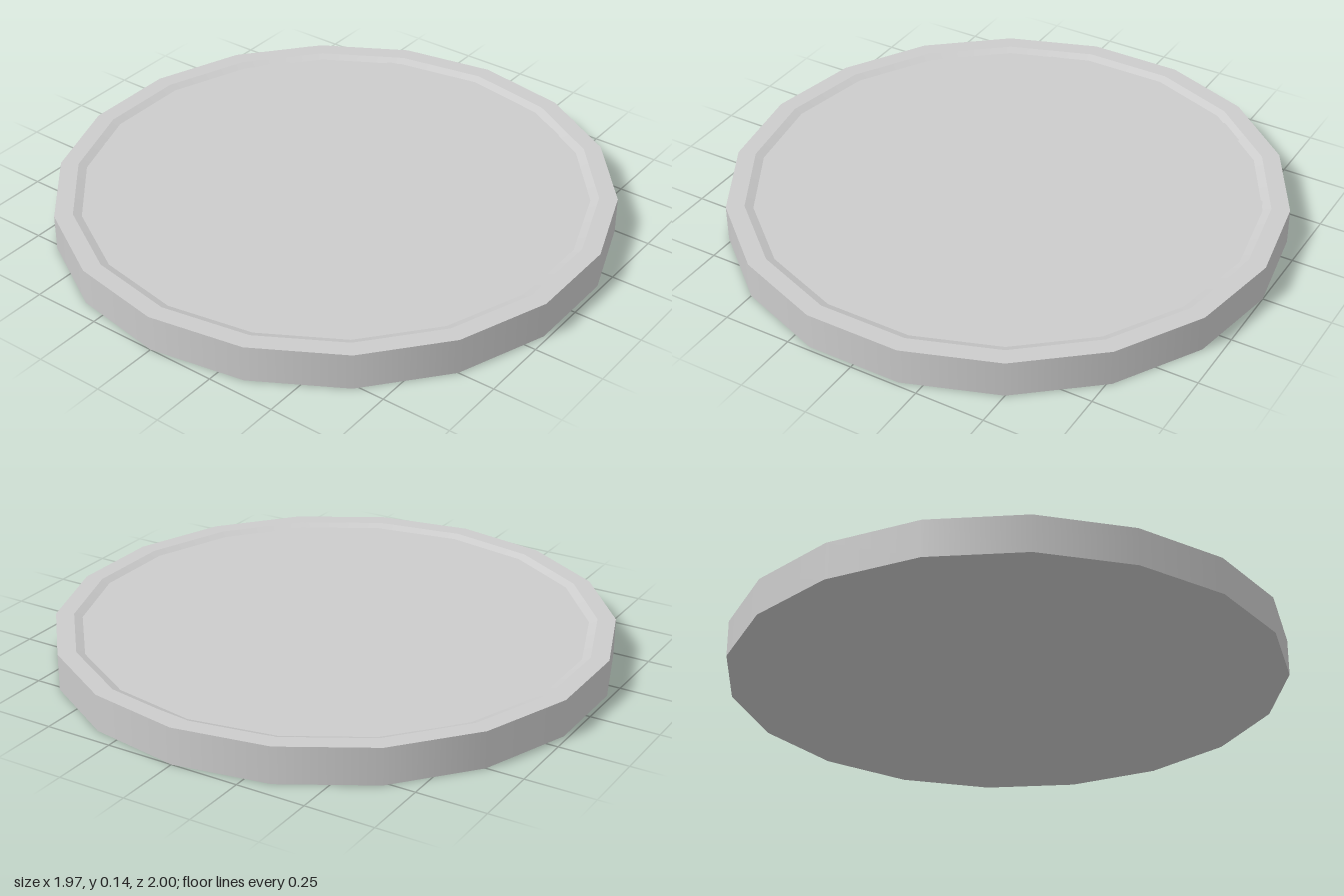
import * as THREE from 'three';

const SIDES = 18;
const TOP = 0.133;     // height of the rim
const PLATE = 0.121;   // height of the sunken plate
const LIFT = 0.002;    // thickness of the grain inlays
const grey = new THREE.MeshStandardMaterial({ color: 0xcccccc });

// One band of the disc, turned from a two-point profile
function band(name, r0, y0, r1, y1) {
  const points = [new THREE.Vector2(r0, y0), new THREE.Vector2(r1, y1)];
  const mesh = new THREE.Mesh(new THREE.LatheGeometry(points, SIDES), grey);
  mesh.name = name;
  return mesh;
}

// Flat inlay lying at height y, outlined by [x, z] corners
function inlay(name, y, outline) {
  const shape = new THREE.Shape(outline.map(([x, z]) => new THREE.Vector2(x, -z)));
  const mesh = new THREE.Mesh(new THREE.ShapeGeometry(shape).rotateX(-Math.PI / 2), grey);
  mesh.position.y = y + LIFT;
  mesh.name = name;
  return mesh;
}

export function createModel() {
  const model = new THREE.Group();
  model.name = 'roundBoard';

  // Disc: underside, outer wall, raised rim, sloped lip and sunken plate
  model.add(
    band('underside', 0, 0, 1, 0),
    band('outerWall', 1, 0, 1, TOP),
    band('rim', 1, TOP, 0.935, TOP),
    band('innerLip', 0.935, TOP, 0.905, PLATE),
    band('plate', 0.905, PLATE, 0, PLATE),
  );

  // Long grain streaks across the plate
  const plateGrain = [
    [[-0.36, -0.83], [-0.36, -0.57], [0.11, 0.87], [0.22, 0.85], [-0.2, -0.39], [-0.28, -0.85]],
    [[-0.02, -0.9], [0.31, 0.33], [0.31, 0.85], [0.58, 0.69], [0.3, -0.15], [0.18, -0.87]],
    [[0.38, -0.81], [0.555, -0.18], [0.47, -0.76]],
    [[-0.75, -0.5], [-0.685, 0.19], [-0.67, -0.6]],
    [[-0.5, -0.22], [-0.52, 0.11], [-0.23, 0.71]],
    [[-0.21, 0.55], [-0.14, 0.87], [-0.1, 0.88]],
    [[0.33, 0.05], [0.39, 0.65], [0.52, 0.7]],
    [[0.79, -0.4], [0.72, 0.5], [0.84, -0.17]],
    [[0.63, -0.64], [0.705, -0.18], [0.66, 0.58], [0.6, 0.67], [0.69, -0.1]],
    [[-0.8, -0.4], [-0.84, 0.3], [-0.88, 0.15], [-0.88, -0.15]],
  ];
  plateGrain.forEach((outline) => model.add(inlay('plateGrain', PLATE, outline)));

  // Short ends of the streaks crossing the rim
  const rimGrain = [
    [[-0.34, -0.935], [-0.29, -0.945], [-0.275, -0.89], [-0.32, -0.88]],
    [[-0.045, -0.985], [0.165, -0.965], [0.18, -0.91], [-0.03, -0.935]],
    [[0.36, -0.925], [0.48, -0.86], [0.465, -0.81], [0.38, -0.855]],
    [[-0.76, -0.62], [-0.67, -0.73], [-0.67, -0.66], [-0.76, -0.55]],
    [[-0.14, 0.97], [-0.06, 0.985], [-0.085, 0.925], [-0.14, 0.915]],
    [[0.145, 0.97], [0.26, 0.95], [0.235, 0.9], [0.12, 0.92]],
    [[0.6, 0.785], [0.68, 0.715], [0.66, 0.66], [0.6, 0.725]],
  ];
  rimGrain.forEach((outline) => model.add(inlay('rimGrain', TOP, outline)));

  return model;
}
